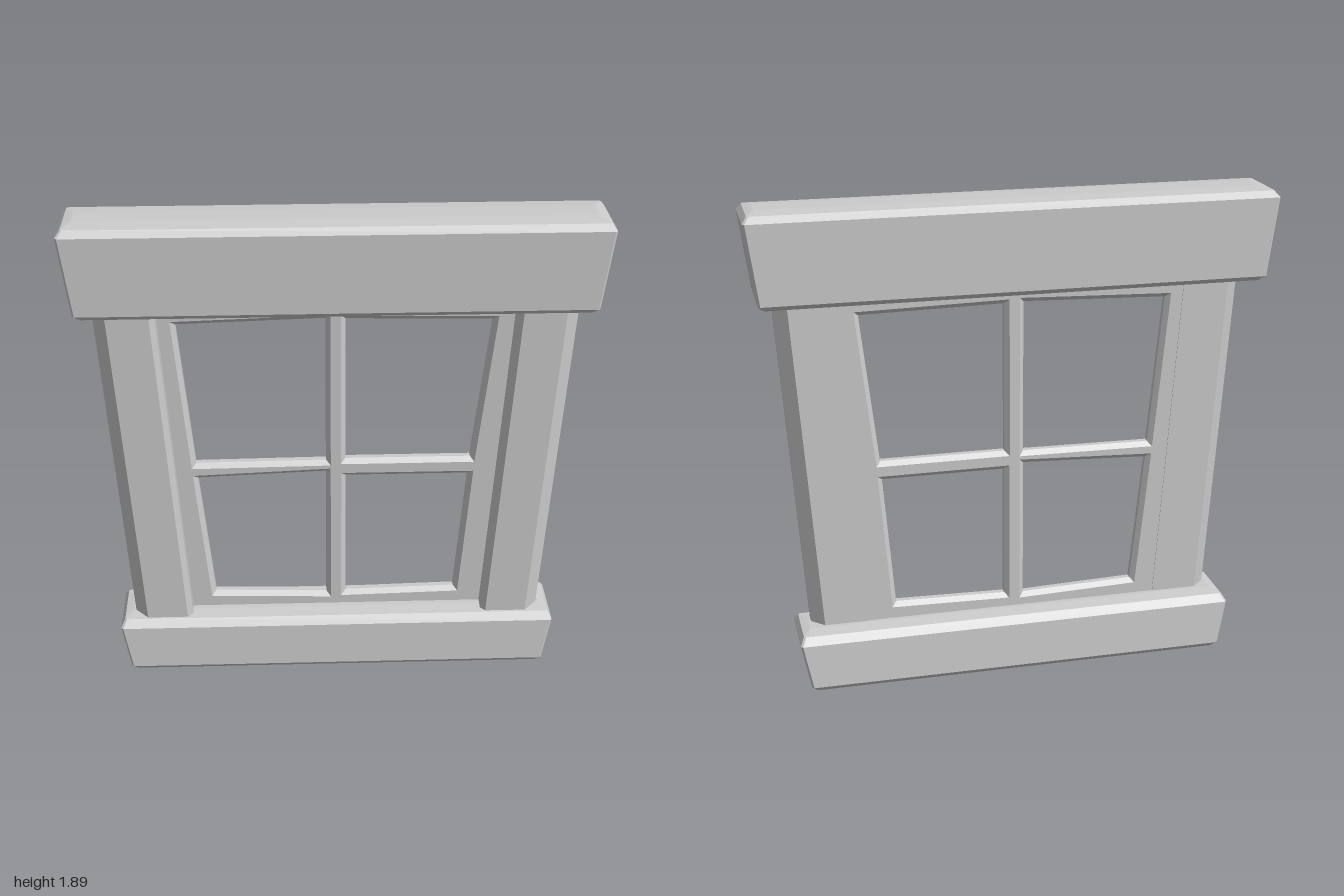
import * as THREE from 'three';

const material = new THREE.MeshStandardMaterial({ color: 0xcccccc, flatShading: true });

// Closed flat-faced solid from stacked rings of [x, y, z] points (ordered from +x towards +z)
function loft(name, rings) {
  const pos = [];
  const n = rings[0].length;
  const tri = (a, b, c) => pos.push(...a, ...b, ...c);
  const last = rings.length - 1;
  for (let i = 0; i < n; i++) {
    const j = (i + 1) % n;
    for (let r = 0; r < last; r++) {
      const lo = rings[r], hi = rings[r + 1];
      tri(lo[i], hi[i], hi[j]);
      tri(lo[i], hi[j], lo[j]);
    }
    if (i > 0 && i < n - 1) {
      tri(rings[0][0], rings[0][i], rings[0][j]);
      tri(rings[last][0], rings[last][j], rings[last][i]);
    }
  }
  const geo = new THREE.BufferGeometry();
  geo.setAttribute('position', new THREE.Float32BufferAttribute(pos, 3));
  geo.computeVertexNormals();
  const mesh = new THREE.Mesh(geo, material);
  mesh.name = name;
  return mesh;
}

// Chamfered beam: levels are [y, half width, half depth]
function beam(name, levels, cut = 0.008) {
  return loft(name, levels.map(([y, w, d]) => [
    [w, y, -d + cut], [w, y, d - cut], [w - cut, y, d], [-w + cut, y, d],
    [-w, y, d - cut], [-w, y, -d + cut], [-w + cut, y, -d], [w - cut, y, -d],
  ]));
}

// Leaning side post with chamfered outer corners
function post(name, side) {
  const section = [[0.9, 0.015], [0.9, 0.05], [0.85, 0.1], [0.69, 0.1],
    [0.67, 0.08], [0.67, -0.035], [0.85, -0.035]];
  const ring = (y, shift) => {
    const pts = section.map(([x, z]) => [side * (x + shift), y, z]);
    return side > 0 ? pts : pts.reverse();
  };
  return loft(name, [ring(0.19, -0.092), ring(1.57, 0.002)]);
}

// Tapered sash with four slightly uneven panes and bevelled bars
function sash() {
  const path = (pts) => pts.map(([x, y]) => new THREE.Vector2(x, y));
  const shape = new THREE.Shape(path([[-0.68, 0.18], [0.68, 0.18], [0.77, 1.58], [-0.77, 1.58]]));
  const panes = [
    [[-0.6, 1.468], [-0.04, 1.485], [-0.04, 0.885], [-0.545, 0.88]],
    [[0.035, 1.482], [0.588, 1.472], [0.522, 0.89], [0.035, 0.89]],
    [[-0.54, 0.815], [-0.04, 0.835], [-0.04, 0.278], [-0.487, 0.292]],
    [[0.037, 0.815], [0.517, 0.815], [0.475, 0.293], [0.037, 0.283]],
  ];
  for (const p of panes) shape.holes.push(new THREE.Path(path(p)));
  const bevel = 0.018;
  const geo = new THREE.ExtrudeGeometry(shape, {
    depth: 0.024, bevelEnabled: true, bevelSegments: 1,
    bevelSize: bevel, bevelThickness: bevel, bevelOffset: -bevel,
  });
  geo.translate(0, 0, -0.014);
  const mesh = new THREE.Mesh(geo, material);
  mesh.name = 'sash';
  return mesh;
}

export function createModel() {
  const group = new THREE.Group();
  group.name = 'window';
  group.add(
    beam('sill', [[0, 0.815, 0.13], [0.02, 0.833, 0.147], [0.195, 0.868, 0.136],
      [0.223, 0.852, 0.108], [0.23, 0.82, 0.05]]),
    beam('lintel', [[1.54, 0.942, 0.125], [1.56, 0.96, 0.147], [1.86, 1, 0.147],
      [1.883, 0.982, 0.122], [1.89, 0.95, 0.05]]),
    post('leftPost', 1),
    post('rightPost', -1),
    sash(),
  );
  return group;
}
